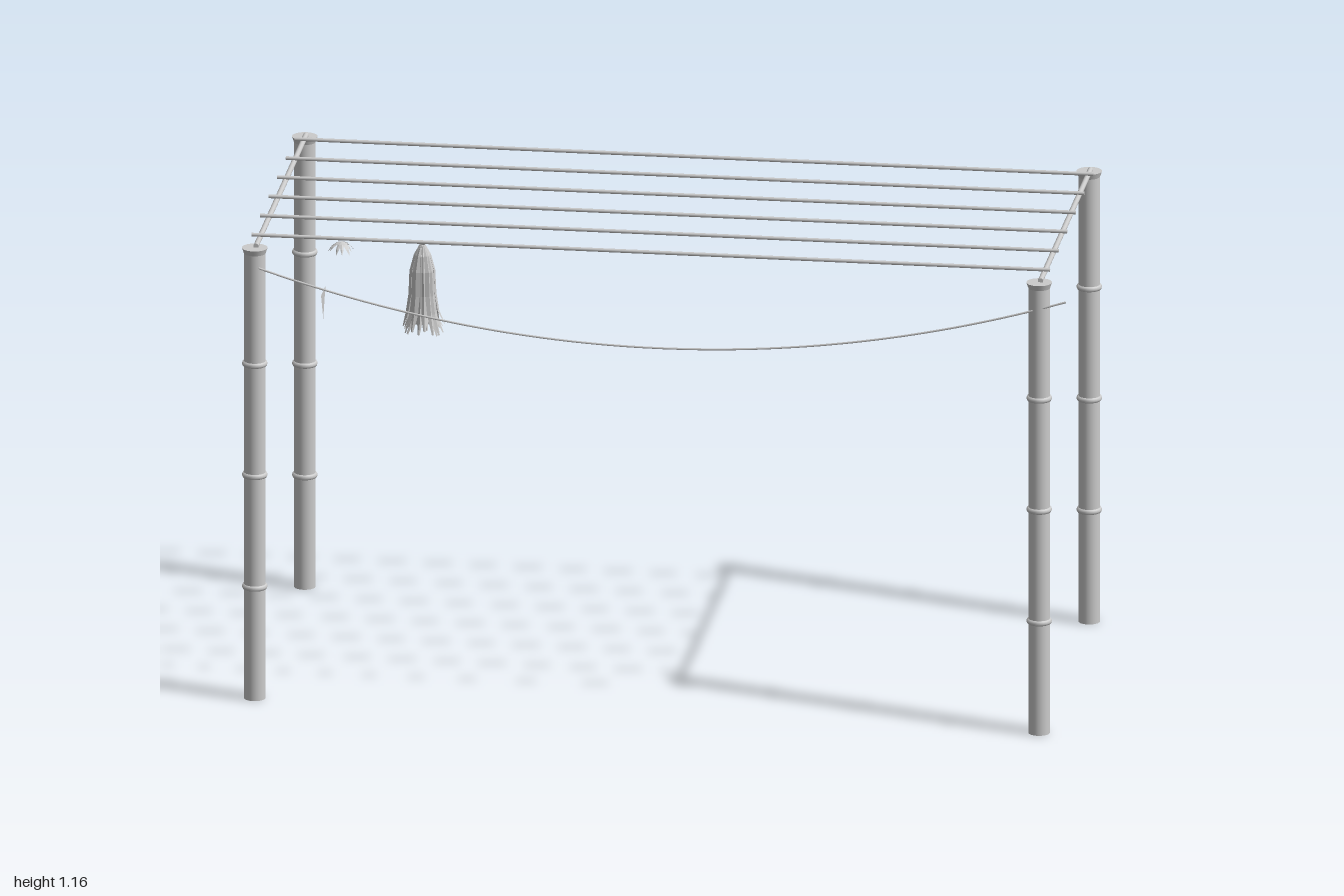
import * as THREE from 'three';
import { mergeGeometries } from 'three/addons/utils/BufferGeometryUtils.js';

const grey = new THREE.MeshStandardMaterial({ color: 0xcccccc });
const thin = new THREE.MeshStandardMaterial({ color: 0xcccccc, side: THREE.DoubleSide });
const leafy = new THREE.MeshStandardMaterial({ color: 0xcccccc, side: THREE.DoubleSide, flatShading: true });

const POST_X = [-0.969, 0.932];
const POST_Z = [0.417, -0.443];
const POST_H = 1.138;
const BEAM_Y = 1.151;

function add(parent, name, geometry, material = grey, x = 0, y = 0, z = 0) {
  const mesh = new THREE.Mesh(geometry, material);
  mesh.name = name;
  mesh.position.set(x, y, z);
  parent.add(mesh);
  return mesh;
}

function seeded(seed) {
  return () => (seed = (seed * 16807) % 2147483647) / 2147483647;
}

// Bamboo post with three node rings and a flared lip
function makePost(x, z) {
  const post = new THREE.Group();
  post.name = 'post';
  post.position.set(x, 0, z);
  add(post, 'postShaft', new THREE.CylinderGeometry(0.026, 0.026, POST_H - 0.004, 24), grey, 0, (POST_H - 0.004) / 2);
  add(post, 'postLip', new THREE.CylinderGeometry(0.031, 0.026, 0.014, 24), grey, 0, POST_H - 0.007);
  for (const y of [0.283, 0.565, 0.846]) {
    const ring = add(post, 'nodeRing', new THREE.TorusGeometry(0.0235, 0.0075, 8, 24), grey, 0, y);
    ring.rotation.x = Math.PI / 2;
  }
  return post;
}

// Folded leaf strip hanging along a profile of [radius, y, halfWidth]
function leafStrip(profile, angle, fold) {
  const pos = [], index = [];
  const c = Math.cos(angle), s = Math.sin(angle);
  profile.forEach(([r, y, w], i) => {
    for (const k of [-1, 0, 1]) {
      const out = r + (k === 0 ? w * fold : 0);
      pos.push(c * out - s * k * w, y, s * out + c * k * w);
    }
    if (i === 0) return;
    for (const k of [0, 1]) {
      const a = (i - 1) * 3 + k, b = i * 3 + k;
      index.push(a, a + 1, b, a + 1, b + 1, b);
    }
  });
  const g = new THREE.BufferGeometry();
  g.setAttribute('position', new THREE.Float32BufferAttribute(pos, 3));
  g.setIndex(index);
  g.computeVertexNormals();
  return g;
}

// Long bundle of dried leaves, flaring to a ragged hem
function strawBundle() {
  const rand = seeded(77);
  const strips = [];
  const count = 30;
  for (let i = 0; i < count; i++) {
    const scale = i % 3 === 2 ? 0.65 : 0.85 + rand() * 0.2;
    const flare = 0.036 + rand() * 0.019;
    const drop = -0.205 - rand() * 0.022;
    const turn = (i / count) * Math.PI * 2 + rand() * 0.15;
    strips.push(leafStrip([
      [0.005, 0, 0.003],
      [0.017 * scale, -0.026, 0.006],
      [0.026 * scale, -0.065, 0.008],
      [0.028 * scale, -0.125, 0.009],
      [0.035 * scale, -0.17, 0.008],
      [flare, drop, 0.003],
    ], turn, 0.6));
  }
  const g = mergeGeometries(strips);
  // The hem leans slightly backward
  const p = g.attributes.position;
  for (let i = 0; i < p.count; i++) p.setZ(i, p.getZ(i) + p.getY(i) * 0.035);
  g.computeVertexNormals();
  return g;
}

// Small spray of short drooping leaves
function leafSpray() {
  const rand = seeded(13);
  const leaves = [];
  for (let i = 0; i < 11; i++) {
    const len = 0.026 + rand() * 0.008;
    const sag = 0.012 + rand() * 0.016;
    leaves.push(leafStrip([
      [0.001, 0, 0.001],
      [len * 0.4, -sag * 0.2, 0.005],
      [len * 0.75, -sag * 0.55, 0.004],
      [len, -sag, 0.0004],
    ], (i / 11) * Math.PI * 2 + rand() * 0.3, 0.3));
  }
  return mergeGeometries(leaves);
}

// Height of the sagging rope at x
const ropeY = (x) => 0.936 + 0.161 * ((x - 0.015) / 0.984) ** 2;

export function createModel() {
  const model = new THREE.Group();
  model.name = 'pergola';

  // Posts and the side rails on top of them
  const railLength = POST_Z[0] - POST_Z[1];
  for (const x of POST_X) {
    for (const z of POST_Z) model.add(makePost(x, z));
    const rail = add(model, 'sideRail', new THREE.CylinderGeometry(0.0065, 0.0065, railLength, 12), grey,
      x + 0.003, 1.1415, (POST_Z[0] + POST_Z[1]) / 2);
    rail.rotation.x = Math.PI / 2;
  }

  // Roof beams laid across the rails
  for (let i = 0; i < 6; i++) {
    const beam = add(model, 'roofBeam', new THREE.CylinderGeometry(0.0045, 0.0045, 1.935, 10), grey,
      -0.0175, BEAM_Y, 0.359 - i * 0.1478);
    beam.rotation.z = Math.PI / 2;
  }

  // Sagging rope across the front
  const ropeZ = 0.438;
  const points = [];
  for (let i = 0; i <= 24; i++) {
    const x = -0.969 + (1.968 * i) / 24;
    points.push(new THREE.Vector3(x, ropeY(x), ropeZ));
  }
  add(model, 'rope', new THREE.TubeGeometry(new THREE.CatmullRomCurve3(points), 64, 0.0025, 6), thin);

  // Single pennant hanging edge-on to the front
  const pennant = new THREE.Shape([
    new THREE.Vector2(-0.038, 0), new THREE.Vector2(0, -0.071), new THREE.Vector2(0.038, 0),
  ]);
  const flag = add(model, 'pennant', new THREE.ShapeGeometry(pennant), thin, -0.8, 1.043, ropeZ);
  flag.rotation.y = Math.PI / 2;

  // Dried leaves hung from the front beam
  add(model, 'strawBundle', strawBundle(), leafy, -0.571, 1.145, 0.357);
  add(model, 'leafSpray', leafSpray(), leafy, -0.767, 1.143, 0.357);

  return model;
}
